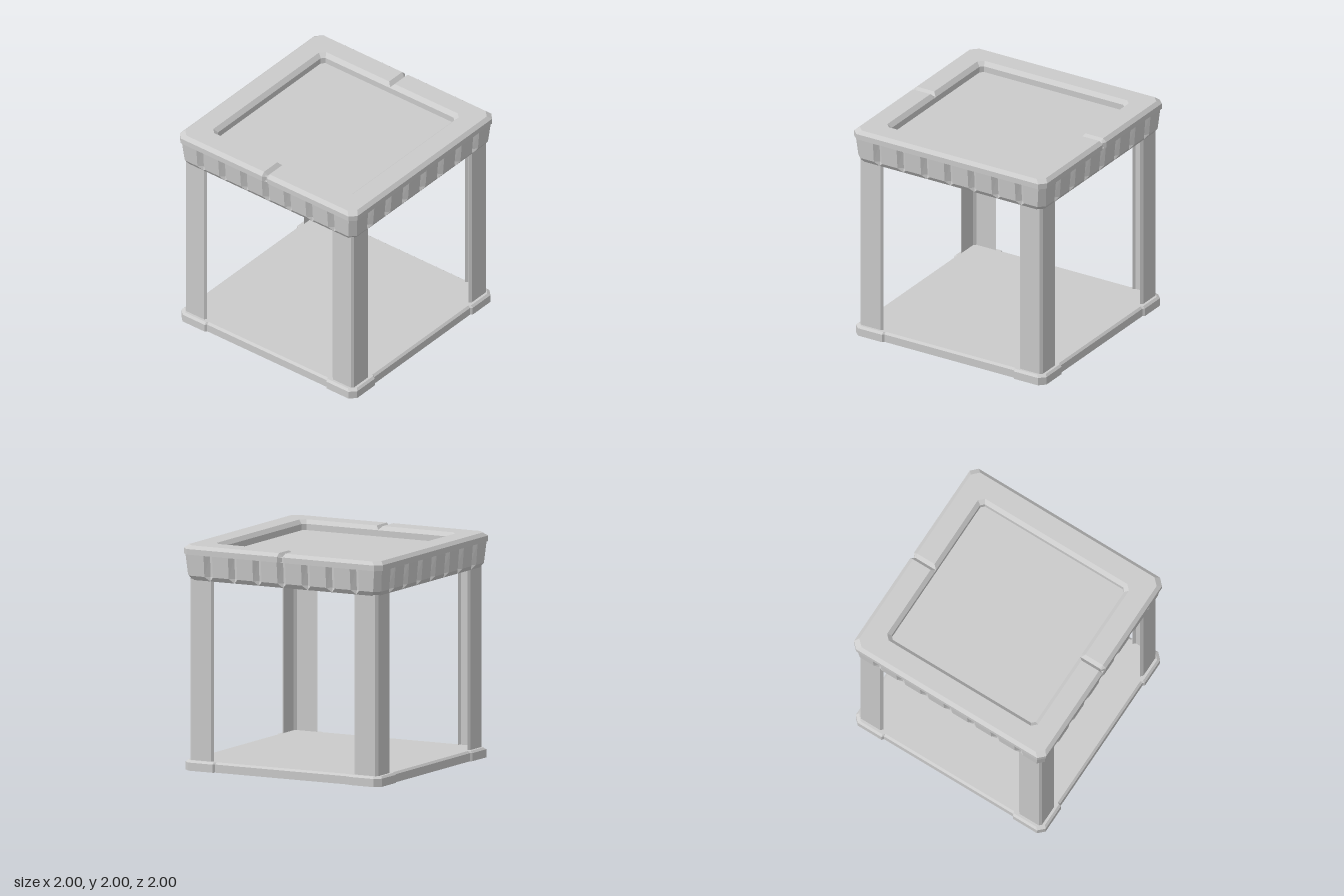
import * as THREE from 'three';

const material = new THREE.MeshStandardMaterial({ color: 0xcccccc, flatShading: true, side: THREE.DoubleSide });

// Skins a list of rings (arrays of [x, y, z]) into a faceted sheet.
function loft(name, rings, { closed = true, capEnd = false } = {}) {
  const pos = [];
  const n = rings[0].length;
  const tri = (a, b, c) => pos.push(...a, ...b, ...c);
  for (let i = 0; i < rings.length - 1; i++) {
    for (let j = 0; j < (closed ? n : n - 1); j++) {
      const k = (j + 1) % n;
      const [a, b, c, d] = [rings[i][j], rings[i][k], rings[i + 1][k], rings[i + 1][j]];
      tri(a, b, c);
      tri(a, c, d);
    }
  }
  if (capEnd) {
    const last = rings[rings.length - 1];
    last.forEach((p, j) => tri([0, p[1], 0], p, last[(j + 1) % n]));
  }
  const geometry = new THREE.BufferGeometry();
  geometry.setAttribute('position', new THREE.Float32BufferAttribute(pos, 3));
  geometry.computeVertexNormals();
  const mesh = new THREE.Mesh(geometry, material);
  mesh.name = name;
  return mesh;
}

// Repeats a quarter of a plan outline around the vertical axis.
function fourFold(points, y) {
  const ring = [];
  let quarter = points;
  for (let i = 0; i < 4; i++) {
    ring.push(...quarter.map(([x, z]) => [x, y, z]));
    quarter = quarter.map(([x, z]) => [z, -x]);
  }
  return ring;
}

// Base outline with slightly projecting corner pads.
function baseRing(y, inset) {
  const r = 0.988 - inset, s = 0.97 - inset, c = r - 0.055;
  return fourFold([[0.67, s], [0.685, r], [c, r], [r, c], [r, 0.685], [s, 0.67]], y);
}

// Skirt outline with seven V-shaped grooves on every side.
function skirtRing(y, r, chamfer, grooveR, halfWidth) {
  const side = [[chamfer - r, r]];
  for (let i = -3; i <= 3; i++) {
    const x = i * 0.245;
    side.push([x - halfWidth, r], [x, grooveR], [x + halfWidth, r]);
  }
  side.push([r - chamfer, r]);
  return fourFold(side, y);
}

// Rim outline: chamfered square with a notch in the middle of the two x sides.
function rimRing(y, r, chamfer, notchR = r, notchY = y) {
  const c = r - chamfer, w = 0.032;
  const half = [
    [c, y, r], [r, y, c], [r, y, w], [notchR, notchY, 0], [r, y, -w], [r, y, -c], [c, y, -r],
  ];
  return [...half, ...half.map(([x, h, z]) => [-x, h, -z])];
}

export function createModel() {
  const model = new THREE.Group();
  model.name = 'openFrameTable';

  // Floor tray, open underneath, with bevelled upper edge
  model.add(loft('base', [
    baseRing(0, 0), baseRing(0.072, 0), baseRing(0.09, 0.02),
  ], { capEnd: true }));

  // Angle-section corner posts
  const section = [[0.706, 0.925], [0.726, 0.945], [0.925, 0.945], [0.945, 0.925], [0.945, 0.726], [0.925, 0.706]];
  const posts = new THREE.Group();
  posts.name = 'posts';
  for (let i = 0; i < 4; i++) {
    const rings = [0.09, 1.7].map((y) => section.map(([x, z]) => [x, y, z]));
    const post = loft('post', rings, { closed: false });
    post.rotation.y = i * Math.PI / 2;
    posts.add(post);
  }
  model.add(posts);

  // Skirt tapering downwards; grooves run out in a point at the lower edge
  model.add(loft('skirt', [
    skirtRing(1.69, 0.945, 0.05, 0.945, 0),
    skirtRing(1.73, 0.972, 0.053, 0.935, 0.043),
    skirtRing(1.92, 0.988, 0.05, 0.948, 0.043),
    skirtRing(1.92, 0.988, 0.05, 0.988, 0.043),
  ]));

  // Top rim, notches and sunken panel in one sheet
  model.add(loft('topRim', [
    rimRing(1.92, 0.985, 0.05, 0.97),
    rimRing(1.92, 1.0, 0.057, 0.97),
    rimRing(1.97, 1.0, 0.057, 0.97, 1.96),
    rimRing(2.0, 0.967, 0.06, 0.95, 1.968),
    rimRing(2.0, 0.785, 0.045, 0.757, 1.968),
    rimRing(1.965, 0.75, 0.03),
    rimRing(1.91, 0.75, 0.03),
  ], { capEnd: true }));

  return model;
}
